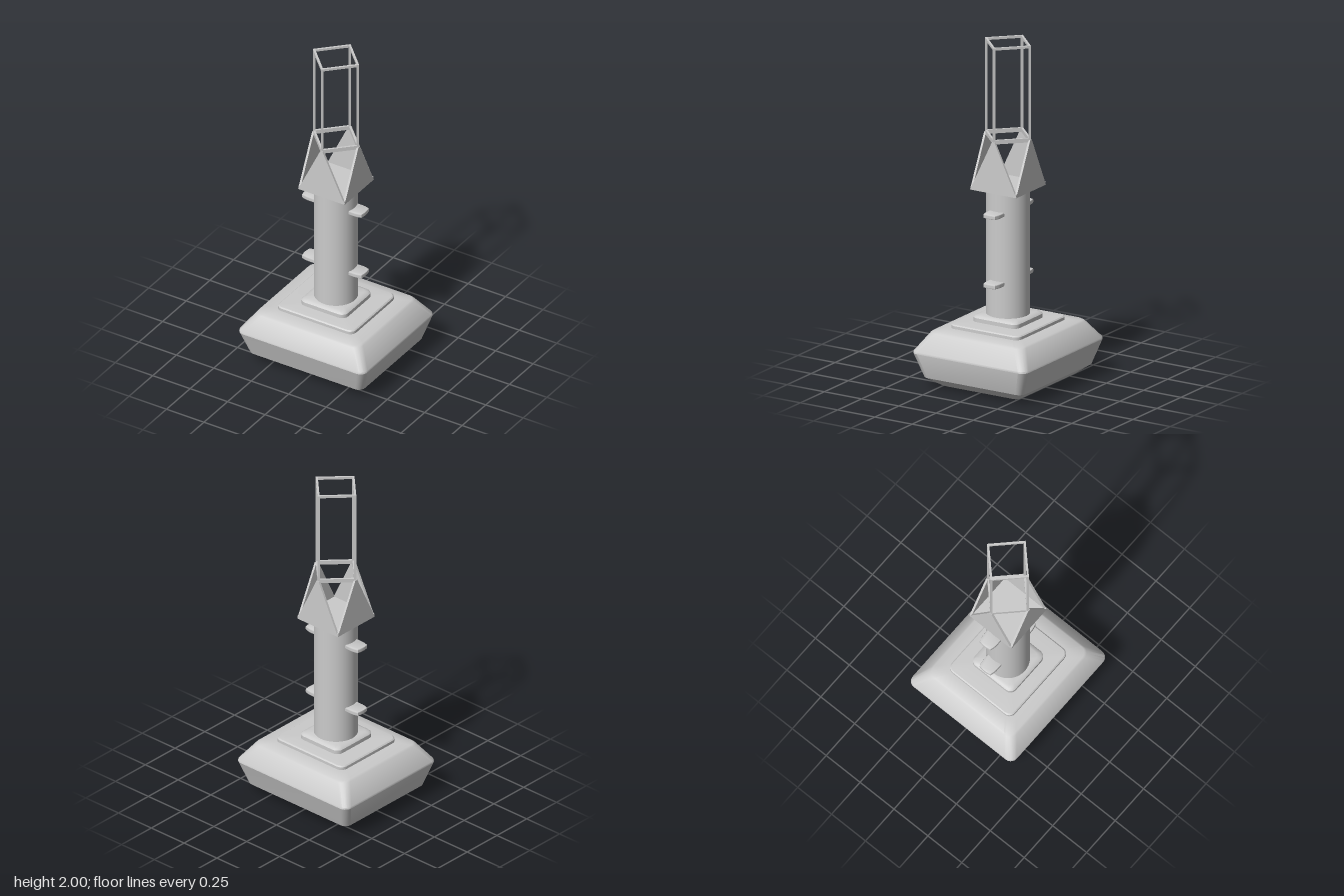
import * as THREE from 'three';
import { toCreasedNormals } from 'three/addons/utils/BufferGeometryUtils.js';

const grey = new THREE.MeshStandardMaterial({ color: 0xcccccc });

function add(parent, name, geometry, x = 0, y = 0, z = 0) {
  const mesh = new THREE.Mesh(geometry, grey);
  mesh.name = name;
  mesh.position.set(x, y, z);
  parent.add(mesh);
  return mesh;
}

// Stacks rounded rectangles: each level is [y, halfX, halfZ, cornerRadius]
function loft(levels, seg = 5) {
  const pos = [], index = [], n = 4 * (seg + 1);
  for (const [y, hx, hz, r] of levels) {
    for (let c = 0; c < 4; c++) {
      const sx = c === 0 || c === 3 ? 1 : -1, sz = c < 2 ? 1 : -1;
      for (let s = 0; s <= seg; s++) {
        const a = (c + s / seg) * Math.PI / 2;
        pos.push(sx * (hx - r) + r * Math.cos(a), y, -(sz * (hz - r) + r * Math.sin(a)));
      }
    }
  }
  const last = (levels.length - 1) * n, bottom = levels.length * n, top = bottom + 1;
  pos.push(0, levels[0][0], 0, 0, levels[levels.length - 1][0], 0);
  for (let j = 0; j < n; j++) {
    const k = (j + 1) % n;
    for (let i = 0; i < last; i += n) {
      index.push(i + j, i + k, i + n + k, i + j, i + n + k, i + n + j);
    }
    index.push(bottom, k, j, top, last + j, last + k);
  }
  const g = new THREE.BufferGeometry();
  g.setAttribute('position', new THREE.Float32BufferAttribute(pos, 3));
  g.setIndex(index);
  return toCreasedNormals(g, 0.5);
}

// Flat diamond outline lying in the ground plane, extruded upward
function diamondRing(outer, inner, height) {
  const corners = (r) => [[r, 0], [0, r], [-r, 0], [0, -r]].map(([x, y]) => new THREE.Vector2(x, y));
  const shape = new THREE.Shape(corners(outer));
  shape.holes.push(new THREE.Path(corners(inner)));
  return new THREE.ExtrudeGeometry(shape, { depth: height, bevelEnabled: false }).rotateX(-Math.PI / 2);
}

export function createModel() {
  const model = new THREE.Group();
  model.name = 'buoy';

  // Float body and stepped plinth
  add(model, 'floatHull', loft([
    [0, 0.29, 0.25, 0.03], [0.01, 0.31, 0.27, 0.035], [0.06, 0.38, 0.335, 0.04],
    [0.205, 0.424, 0.384, 0.045], [0.215, 0.422, 0.382, 0.045], [0.318, 0.349, 0.315, 0.05],
    [0.326, 0.338, 0.304, 0.05], [0.335, 0.27, 0.245, 0.04],
  ]));
  add(model, 'lowerPlinth', loft([
    [0.33, 0.257, 0.233, 0.04], [0.352, 0.257, 0.233, 0.04], [0.358, 0.25, 0.226, 0.035], [0.362, 0.2, 0.19, 0.03],
  ]));
  add(model, 'upperPlinth', loft([
    [0.355, 0.152, 0.152, 0.04], [0.385, 0.152, 0.152, 0.04], [0.394, 0.143, 0.143, 0.035], [0.4, 0.125, 0.125, 0.03],
  ]));

  // Column
  add(model, 'column', new THREE.CylinderGeometry(0.125, 0.125, 0.76, 48), 0, 0.77, 0);

  // Climbing steps on both sides
  const step = new THREE.Shape();
  step.moveTo(0.1, -0.043);
  step.lineTo(0.15, -0.043);
  step.quadraticCurveTo(0.17, -0.042, 0.19, -0.035);
  step.quadraticCurveTo(0.199, 0, 0.19, 0.035);
  step.quadraticCurveTo(0.17, 0.042, 0.15, 0.043);
  step.lineTo(0.1, 0.043);
  const stepGeometry = toCreasedNormals(new THREE.ExtrudeGeometry(step, {
    depth: 0.014, bevelThickness: 0.006, bevelSize: 0.006, bevelSegments: 2, curveSegments: 6,
  }).rotateX(-Math.PI / 2).translate(0, -0.007, 0), 0.6);
  for (const y of [0.603, 1.013]) {
    add(model, 'leftStep', stepGeometry, 0, y, 0);
    add(model, 'rightStep', stepGeometry, -0.007, y, 0).rotation.y = Math.PI;
  }

  // Head: square floor with an upright triangular panel on each side
  const head = new THREE.Group();
  head.name = 'head';
  model.add(head);
  add(head, 'headFloor', new THREE.BoxGeometry(0.308, 0.02, 0.308), 0, 1.15, 0);
  const triangle = new THREE.Shape([
    new THREE.Vector2(-0.155, 1.14), new THREE.Vector2(0.155, 1.14),
    new THREE.Vector2(0.008, 1.445), new THREE.Vector2(-0.008, 1.445),
  ]);
  const panel = new THREE.ExtrudeGeometry(triangle, { depth: 0.013, bevelEnabled: false }).translate(0, 0, 0.142);
  for (let i = 0; i < 4; i++) add(head, 'trianglePanel', panel).rotation.y = i * Math.PI / 2;

  // Open lantern cage, turned 45 degrees to the head
  const cage = new THREE.Group();
  cage.name = 'cage';
  model.add(cage);
  add(cage, 'lowerRing', diamondRing(0.155, 0.138, 0.024), 0, 1.431, 0);
  add(cage, 'upperRing', diamondRing(0.155, 0.138, 0.014), 0, 1.986, 0);
  const post = new THREE.BoxGeometry(0.013, 0.55, 0.013).rotateY(Math.PI / 4);
  for (let i = 0; i < 4; i++) {
    const a = i * Math.PI / 2;
    add(cage, 'cagePost', post, 0.1455 * Math.cos(a), 1.715, 0.1455 * Math.sin(a));
  }
  return model;
}
